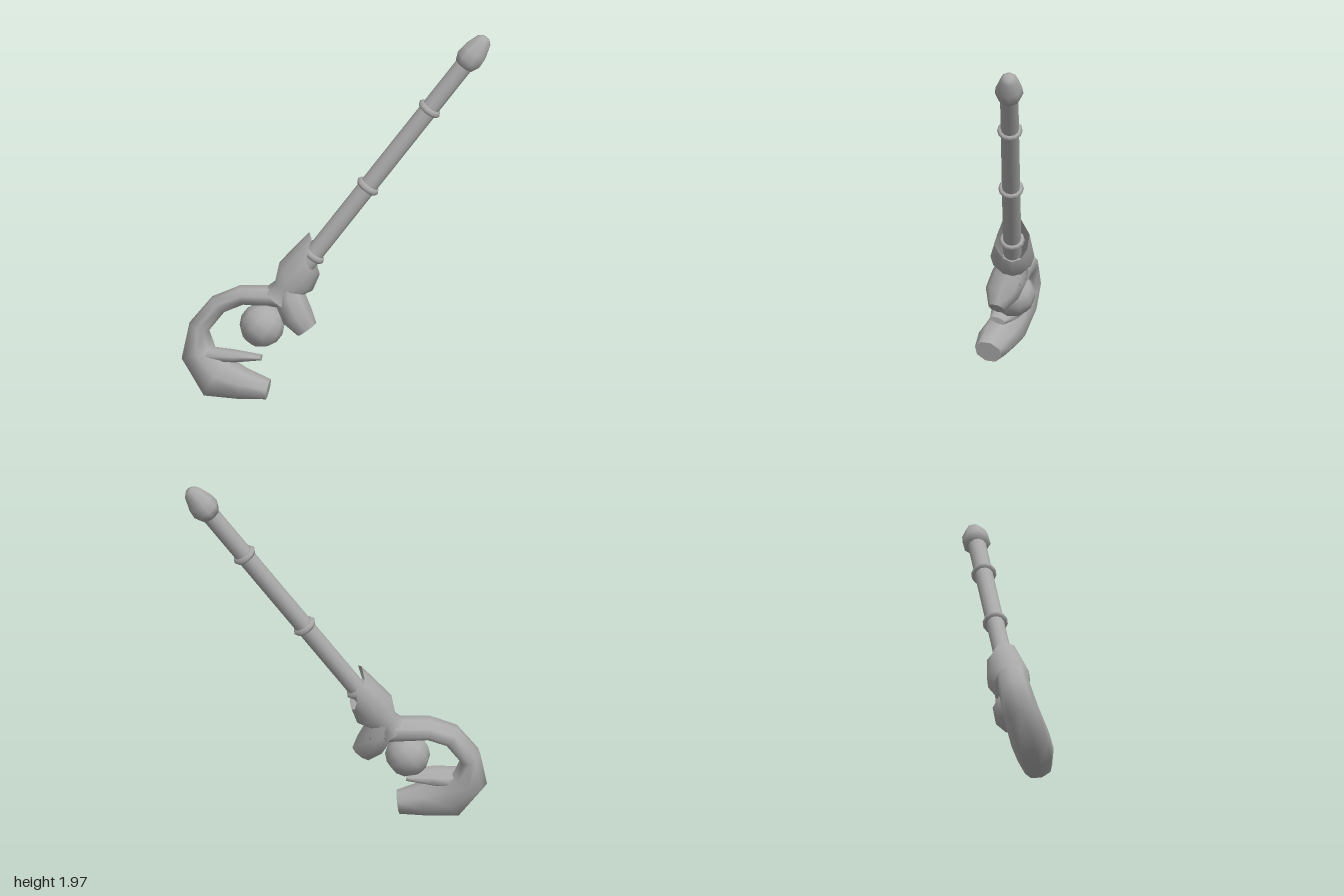
import * as THREE from 'three';
import { mergeVertices } from 'three/addons/utils/BufferGeometryUtils.js';

const V = (x, y, z) => new THREE.Vector3(x, y, z);
const grey = new THREE.MeshStandardMaterial({ color: 0xaaaaaa, side: THREE.DoubleSide });
grey.name = 'plain grey';

function add(parent, name, geometry) {
  const mesh = new THREE.Mesh(geometry, grey);
  mesh.name = name;
  parent.add(mesh);
  return mesh;
}

const lathe = (profile, sides) =>
  new THREE.LatheGeometry(profile.map(([r, y]) => new THREE.Vector2(r, y)), sides);

// Closed limb through stations [x, y, z, radius in the hook plane, radius across it]
function limb(stations, across, sides = 8) {
  const pos = [], index = [];
  const centres = stations.map(([x, y, z]) => V(x, y, z));
  const last = stations.length - 1;
  centres.forEach((c, i) => {
    const t = centres[Math.min(i + 1, last)].clone().sub(centres[Math.max(i - 1, 0)]).normalize();
    const b = across.clone().addScaledVector(t, -across.dot(t)).normalize();
    const a = b.clone().cross(t);
    for (let j = 0; j < sides; j++) {
      const ang = (j / sides) * Math.PI * 2;
      const p = c.clone().addScaledVector(a, Math.cos(ang) * stations[i][3])
        .addScaledVector(b, Math.sin(ang) * stations[i][4]);
      pos.push(p.x, p.y, p.z);
    }
  });
  for (let i = 0; i < last; i++) {
    for (let j = 0; j < sides; j++) {
      const k = (j + 1) % sides, p = i * sides, q = p + sides;
      index.push(p + j, p + k, q + k, p + j, q + k, q + j);
    }
  }
  // Flat end caps with their own corners
  for (const [ring, flip] of [[0, true], [last, false]]) {
    const start = pos.length / 3;
    pos.push(...pos.slice(ring * sides * 3, (ring + 1) * sides * 3));
    for (let j = 1; j < sides - 1; j++) {
      index.push(start, start + (flip ? j + 1 : j), start + (flip ? j : j + 1));
    }
  }
  const g = new THREE.BufferGeometry();
  g.setAttribute('position', new THREE.Float32BufferAttribute(pos, 3));
  g.setIndex(index);
  g.computeVertexNormals();
  return g;
}

// Flared socket whose rim rises into uneven points
function socketGeometry() {
  const rim = [0.09, 0.08, -0.02, -0.05, -0.03, -0.06, -0.07, -0.06, -0.02, 0.05, 0.02, 0.075];
  const sides = rim.length;
  const profile = [[0.09, -0.31], [0.072, -0.24], [0.115, -0.15], [0.092, 0]];
  const g = lathe(profile, sides);
  const p = g.attributes.position;
  for (let i = 0; i <= sides; i++) {
    p.setY(i * profile.length + profile.length - 1, rim[i % sides]);
  }
  g.deleteAttribute('uv');
  g.deleteAttribute('normal');
  const merged = mergeVertices(g, 1e-4);
  merged.computeVertexNormals();
  return merged;
}

export function createModel() {
  const model = new THREE.Group();
  model.name = 'hookedStaff';

  // Staff frame: y runs along the leaning shaft, z towards its upper side
  const staff = new THREE.Group();
  staff.name = 'staff';
  const along = V(0.588, 1, -0.475).normalize();
  const upper = V(0, 1, 0).addScaledVector(along, -along.y).normalize();
  const side = along.clone().cross(upper);
  // upper is tilted towards the hook, so side, along, upper form a right-handed frame
  staff.quaternion.setFromRotationMatrix(new THREE.Matrix4().makeBasis(side, along, upper));
  staff.position.set(-0.08, 0.78, 0.075);
  model.add(staff);

  const shaft = add(staff, 'shaft', new THREE.CylinderGeometry(0.048, 0.048, 1.46, 12));
  shaft.position.y = 0.61;

  for (const y of [0, 0.475, 1.013]) {
    const ring = add(staff, 'shaftRing', new THREE.TorusGeometry(0.048, 0.019, 6, 12));
    ring.rotation.x = Math.PI / 2;
    ring.position.y = y;
  }

  add(staff, 'endKnob', lathe([[0, 1.315], [0.055, 1.315], [0.075, 1.36], [0.07, 1.41],
    [0.045, 1.485], [0.025, 1.505], [0, 1.51]], 8));
  add(staff, 'socket', socketGeometry());

  // Hook, thumb and spur around the ball
  const across = V(0.37, 0.32, 0.87).normalize();
  add(model, 'hook', limb([
    [-0.12, 0.53, 0.14, 0.06, 0.07],
    [-0.25, 0.545, 0.19, 0.058, 0.08],
    [-0.40, 0.545, 0.27, 0.052, 0.08],
    [-0.50, 0.495, 0.34, 0.052, 0.08],
    [-0.58, 0.37, 0.40, 0.055, 0.085],
    [-0.565, 0.235, 0.43, 0.095, 0.095],
    [-0.455, 0.125, 0.425, 0.125, 0.105],
    [-0.32, 0.10, 0.385, 0.085, 0.1],
    [-0.195, 0.078, 0.335, 0.055, 0.075],
  ], across));

  add(model, 'thumb', limb([
    [-0.53, 0.23, 0.43, 0.05, 0.07],
    [-0.38, 0.24, 0.375, 0.035, 0.075],
    [-0.25, 0.24, 0.315, 0.016, 0.045],
  ], across));

  add(model, 'spur', limb([
    [-0.185, 0.63, 0.145, 0.065, 0.07],
    [-0.165, 0.54, 0.165, 0.085, 0.095],
    [-0.115, 0.455, 0.175, 0.085, 0.09],
    [-0.062, 0.388, 0.165, 0.06, 0.045],
  ], across));

  const ball = add(model, 'ball', new THREE.SphereGeometry(0.118, 10, 7));
  ball.position.set(-0.29, 0.39, 0.245);
  ball.quaternion.copy(staff.quaternion);

  return model;
}
